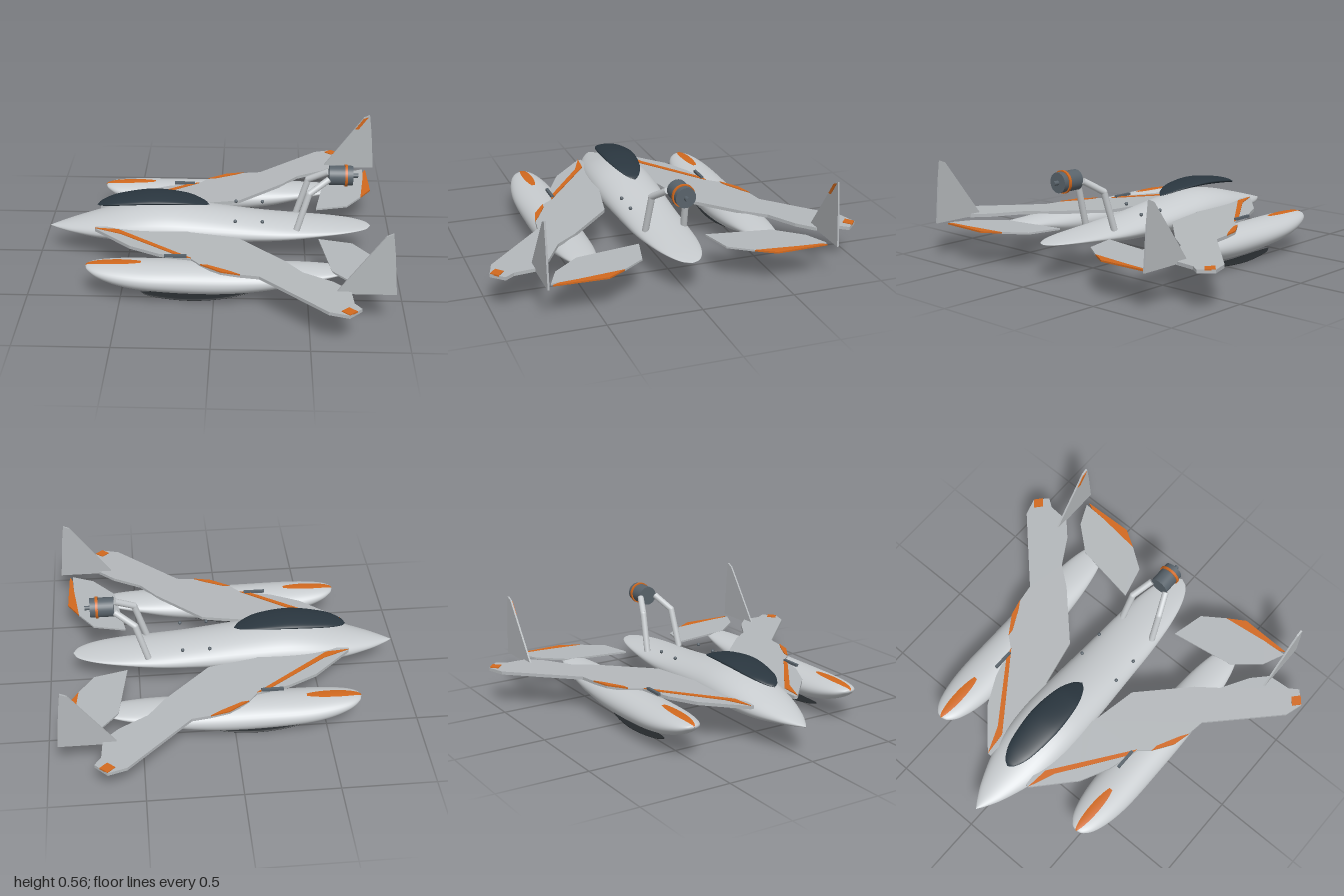
import * as THREE from 'three';

const mat = (name, color, side = THREE.FrontSide) => {
  const m = new THREE.MeshStandardMaterial({ color, side });
  m.name = name;
  return m;
};

// Samples stations [x, halfWidth, top, bottom] smoothly for t in 0..1
function sampler(stations) {
  const a = new THREE.CatmullRomCurve3(stations.map(s => new THREE.Vector3(s[0], s[1], 0)), false, 'catmullrom');
  const b = new THREE.CatmullRomCurve3(stations.map(s => new THREE.Vector3(s[0], s[2], s[3])), false, 'catmullrom');
  return t => {
    const p = a.getPoint(t), q = b.getPoint(t);
    return { x: p.x, w: Math.max(p.y, 0.0005), top: q.y, bot: Math.min(q.z, q.y - 0.0005) };
  };
}

function gridGeometry(pos, rows, cols, closed) {
  const idx = [];
  for (let i = 0; i < rows - 1; i++)
    for (let j = 0; j < (closed ? cols : cols - 1); j++) {
      const k = (j + 1) % cols;
      const a = i * cols + j, b = (i + 1) * cols + j, c = (i + 1) * cols + k, d = i * cols + k;
      idx.push(a, b, c, a, c, d);
    }
  const g = new THREE.BufferGeometry();
  g.setAttribute('position', new THREE.Float32BufferAttribute(pos, 3));
  g.setIndex(idx);
  g.computeVertexNormals();
  return g;
}

// Closed body with elliptical sections along x; mid is the height of the widest line
function loft(stations, mid = 0.5, rows = 64, cols = 40) {
  const at = sampler(stations), pos = [];
  for (let i = 0; i < rows; i++) {
    const s = at(i / (rows - 1)), yc = s.bot + (s.top - s.bot) * mid;
    for (let j = 0; j < cols; j++) {
      const a = j / cols * Math.PI * 2, sn = Math.sin(a);
      pos.push(s.x, yc + sn * (sn > 0 ? s.top - yc : yc - s.bot), s.w * Math.cos(a));
    }
  }
  return gridGeometry(pos, rows, cols, true);
}

// Horizontal plate from [x, z] points; top follows y - slope * |z|
function plate(points, side, thick, y, slope = 0) {
  const shape = new THREE.Shape(points.map(p => new THREE.Vector2(p[0], p[1] * side)));
  const g = new THREE.ExtrudeGeometry(shape, { depth: thick, bevelEnabled: false });
  g.rotateX(Math.PI / 2);
  const p = g.attributes.position;
  for (let i = 0; i < p.count; i++) p.setY(i, p.getY(i) + y - slope * Math.abs(p.getZ(i)));
  g.computeVertexNormals();
  return g;
}

// Upright plate from [x, y] points, centred on z
function upright(points, thick, z) {
  const shape = new THREE.Shape(points.map(p => new THREE.Vector2(...p)));
  return new THREE.ExtrudeGeometry(shape, { depth: thick, bevelEnabled: false }).translate(0, 0, z - thick / 2);
}

const HULL = [
  [-0.94, 0.001, 0.168, 0.164], [-0.89, 0.035, 0.183, 0.154], [-0.8, 0.083, 0.209, 0.141], [-0.64, 0.142, 0.253, 0.122],
  [-0.47, 0.172, 0.294, 0.114], [-0.3, 0.18, 0.31, 0.112], [-0.1, 0.174, 0.295, 0.113], [0.2, 0.158, 0.257, 0.12],
  [0.4, 0.148, 0.237, 0.135], [0.6, 0.127, 0.221, 0.163], [0.74, 0.095, 0.21, 0.18], [0.83, 0.05, 0.2, 0.188], [0.86, 0.001, 0.195, 0.192]];
const POD = [
  [-0.68, 0.001, 0.186, 0.182], [-0.665, 0.038, 0.197, 0.165], [-0.61, 0.077, 0.206, 0.13], [-0.5, 0.108, 0.211, 0.092],
  [-0.35, 0.124, 0.211, 0.068], [-0.12, 0.125, 0.211, 0.052], [0.1, 0.123, 0.21, 0.056], [0.3, 0.115, 0.208, 0.083],
  [0.47, 0.1, 0.204, 0.126], [0.61, 0.073, 0.199, 0.158], [0.7, 0.036, 0.192, 0.178], [0.73, 0.001, 0.188, 0.185]];
const CANOPY = [
  [-0.67, 0.001, 0.301, 0.298], [-0.64, 0.038, 0.321, 0.303], [-0.55, 0.075, 0.35, 0.316], [-0.36, 0.095, 0.375, 0.331],
  [-0.18, 0.077, 0.359, 0.331], [-0.08, 0.04, 0.331, 0.318], [-0.04, 0.001, 0.311, 0.309]];
const KEEL = [
  [-0.39, 0.001, 0.031, 0.028], [-0.34, 0.024, 0.025, 0.015], [-0.22, 0.041, 0.018, 0.004], [-0.1, 0.045, 0.016, 0],
  [0.03, 0.037, 0.022, 0.008], [0.15, 0.018, 0.037, 0.028], [0.215, 0.001, 0.051, 0.048]];
const WING = [
  [-0.67, 0.13], [-0.67, 0.15], [-0.46, 0.34], [-0.3, 0.42], [-0.12, 0.47], [-0.07, 0.53], [0.04, 0.6], [0.14, 0.625],
  [0.24, 0.64], [0.585, 0.97], [0.685, 1], [0.75, 0.935], [0.715, 0.885], [0.705, 0.76], [0.62, 0.68], [0.465, 0.59],
  [0.375, 0.475], [0.12, 0.23], [-0.15, 0.175], [-0.15, 0.1]];
const WING_MARKS = [
  [[-0.67, 0.148], [-0.54, 0.16], [-0.12, 0.465], [-0.17, 0.455], [-0.52, 0.21]],
  [[-0.07, 0.53], [-0.03, 0.535], [0.09, 0.595], [0.14, 0.627], [0.04, 0.603]],
  [[0.645, 0.963], [0.685, 0.928], [0.725, 0.963], [0.685, 0.998]]];
const TAIL = [[0.563, 0.185], [0.62, 0.54], [0.745, 0.685], [0.868, 0.74], [0.86, 0.6], [0.83, 0.35], [0.745, 0.23]];
const TAIL_MARK = [[0.885, 0.735], [0.893, 0.45], [0.83, 0.35], [0.86, 0.6], [0.868, 0.7]];
const FIN = [[0.635, 0.215], [0.865, 0.53], [0.9, 0.545], [0.915, 0.43], [0.935, 0.2], [0.68, 0.2]];

// Painted patch draped over the top of the pod nose
function podPatch(rows = 36, cols = 9) {
  const at = sampler(POD), pos = [], x0 = -0.68, x1 = -0.37;
  for (let i = 0; i < rows; i++) {
    const s = at(i / (rows - 1) * 0.347), yc = (s.top + s.bot) / 2;
    const u = THREE.MathUtils.clamp((s.x - x0) / (x1 - x0), 0, 1);
    const half = Math.min(0.027 * Math.sqrt(Math.sin(Math.PI * u) + 0.001), s.w * 0.8);
    for (let j = 0; j < cols; j++) {
      const z = half * (1 - 2 * j / (cols - 1));
      pos.push(s.x - 0.001, yc + (s.top - yc) * Math.sqrt(1 - (z / s.w) ** 2) + 0.003, z);
    }
  }
  return gridGeometry(pos, rows, cols, false);
}

export function createModel() {
  const root = new THREE.Group();
  root.name = 'aircraft';
  const hull = mat('hull light grey', 0xc8cccf);
  const panel = mat('wing grey', 0xb4b8bb);
  const orange = mat('orange trim', 0xd2691e, THREE.DoubleSide);
  const glass = mat('dark canopy', 0x2a363f);
  const black = mat('keel black', 0x25292c);
  const metal = mat('engine grey', 0x59636b);
  const add = (name, geo, m, x = 0, y = 0, z = 0) => {
    const mesh = new THREE.Mesh(geo, m);
    mesh.name = name;
    mesh.position.set(x, y, z);
    root.add(mesh);
    return mesh;
  };
  const xCylinder = (r, len) => new THREE.CylinderGeometry(r, r, len, 32).rotateZ(Math.PI / 2);

  add('fuselage', loft(HULL, 0.45), hull);
  add('canopy', loft(CANOPY), glass);

  for (const s of [1, -1]) {
    // Pods with their keels
    add('pod', loft(POD), hull, 0, 0, 0.5 * s);
    add('podNoseMark', podPatch(), orange, 0, 0, 0.5 * s);
    add('podKeel', loft(KEEL, 0.5, 40, 20), black, 0, 0, 0.5 * s);

    // Wing and its painted trim
    add('wing', plate(WING, s, 0.018, 0.228, 0.018), panel);
    for (const m of WING_MARKS) add('wingMark', plate(m, s, 0.008, 0.232, 0.018), orange);
    add('wingProbe', new THREE.BoxGeometry(0.12, 0.014, 0.016), metal, -0.205, 0.226, 0.452 * s);

    // Tail surfaces
    add('tailplane', plate(TAIL, s, 0.01, 0.2), panel);
    add('tailplaneMark', plate(TAIL_MARK, s, 0.009, 0.2), orange);
    add('fin', upright(FIN, 0.01, 0.77 * s), panel);

    // Engine strut, bent at the elbow
    const pts = [[0.445, 0.215, 0.108], [0.508, 0.43, 0.095], [0.615, 0.497, 0.05]]
      .map(p => new THREE.Vector3(p[0], p[1], p[2] * s));
    for (let i = 0; i < 2; i++) {
      const d = pts[i + 1].clone().sub(pts[i]);
      const c = pts[i].clone().add(pts[i + 1]).multiplyScalar(0.5);
      const strut = add('engineStrut', new THREE.CylinderGeometry(0.018, 0.018, d.length(), 16), hull, c.x, c.y, c.z);
      strut.quaternion.setFromUnitVectors(new THREE.Vector3(0, 1, 0), d.normalize());
    }
    add('strutElbow', new THREE.SphereGeometry(0.018, 16, 12), hull, ...pts[1].toArray());

    // Small deck studs
    for (const x of [0.105, 0.255]) add('deckStud', new THREE.SphereGeometry(0.01, 12, 8), metal, x, 0.27, 0.126 * s);
  }

  // Stripe on the inner face of one fin
  add('finMark', upright([[0.815, 0.455], [0.862, 0.522], [0.893, 0.535], [0.835, 0.455]], 0.004, -0.763), orange);

  // Raised engine
  add('engineBody', xCylinder(0.054, 0.13), metal, 0.683, 0.5);
  add('engineRing', xCylinder(0.061, 0.014), orange, 0.711, 0.5);
  add('engineHub', xCylinder(0.012, 0.035), metal, 0.76, 0.5);
  return root;
}
